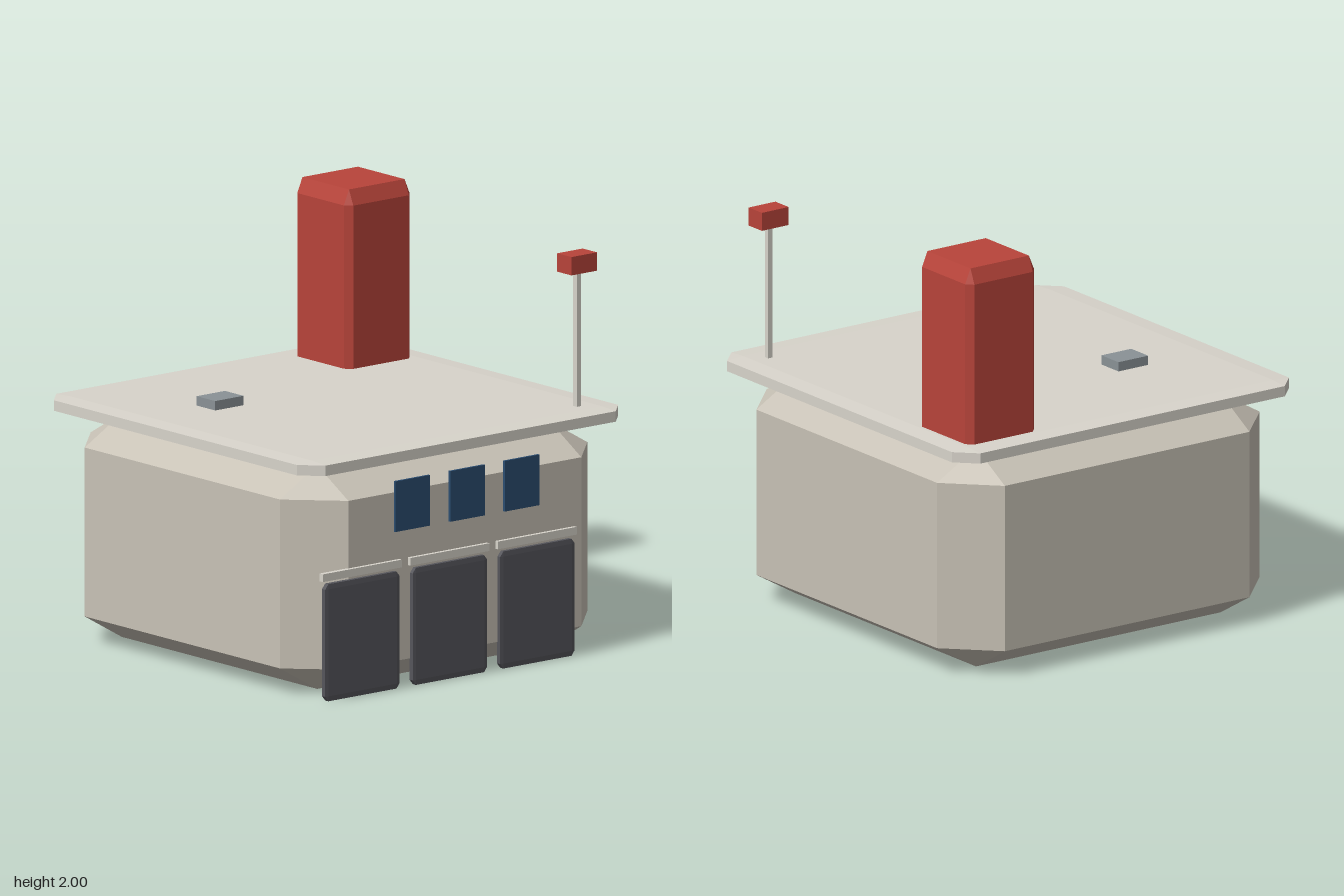
import * as THREE from 'three';
import { ConvexGeometry } from 'three/addons/geometries/ConvexGeometry.js';

const mat = (color) => new THREE.MeshStandardMaterial({ color, flatShading: true });
const wall = mat(0xc8c2b6), roofMat = mat(0xd8d4cb), red = mat(0xb8443a);
const doorMat = mat(0x55555b), glass = mat(0x2b4d70), metal = mat(0x8a9296);

export function createModel() {
  const group = new THREE.Group();

  const add = (name, geometry, material, x, y, z) => {
    const mesh = new THREE.Mesh(geometry, material);
    mesh.name = name;
    mesh.position.set(x, y, z);
    group.add(mesh);
  };

  // Plain box standing on y
  const box = (name, material, w, h, d, x, y, z) =>
    add(name, new THREE.BoxGeometry(w, h, d), material, x, y + h / 2, z);

  // Box standing on y with every edge cut off by (cx, cy, cz)
  const chamferBox = (name, material, w, h, d, cx, cy, cz, x, y, z) => {
    const points = [];
    for (const i of [-1, 1]) for (const j of [-1, 1]) for (const k of [-1, 1]) {
      const [a, b, c] = [w / 2, h / 2, d / 2];
      points.push(
        new THREE.Vector3(i * a, j * (b - cy), k * (c - cz)),
        new THREE.Vector3(i * (a - cx), j * b, k * (c - cz)),
        new THREE.Vector3(i * (a - cx), j * (b - cy), k * c));
    }
    add(name, new ConvexGeometry(points), material, x, y + h / 2, z);
  };

  // Main building and roof slab
  chamferBox('body', wall, 1.87, 1.07, 1.87, 0.226, 0.131, 0.226, 0, 0, 0);
  chamferBox('roof', roofMat, 1.955, 0.062, 1.955, 0.095, 0.006, 0.095, 0, 1.085, 0);

  // Corner tower
  chamferBox('tower', red, 0.4, 0.93, 0.4, 0.031, 0.072, 0.031, 0.665, 1.07, -0.666);

  // Garage doors with lintels
  [-0.64, -0.107, 0.425].forEach((x) => {
    chamferBox('garageDoor', doorMat, 0.453, 0.56, 0.027, 0.019, 0.024, 0.002, x, 0.004, 0.943);
    box('doorLintel', roofMat, 0.48, 0.037, 0.025, x, 0.579, 0.942);
  });

  // Upper windows
  [-0.335, -0.001, 0.331].forEach((x) =>
    box('window', glass, 0.21, 0.242, 0.013, x, 0.754, 0.95));

  // Roof vent, mast and mast head
  box('roofVent', metal, 0.172, 0.055, 0.134, -0.469, 1.137, -0.282);
  box('mast', roofMat, 0.026, 0.66, 0.026, 0.798, 1.135, 0.798);
  box('mastHead', red, 0.155, 0.088, 0.104, 0.798, 1.792, 0.798);

  return group;
}
